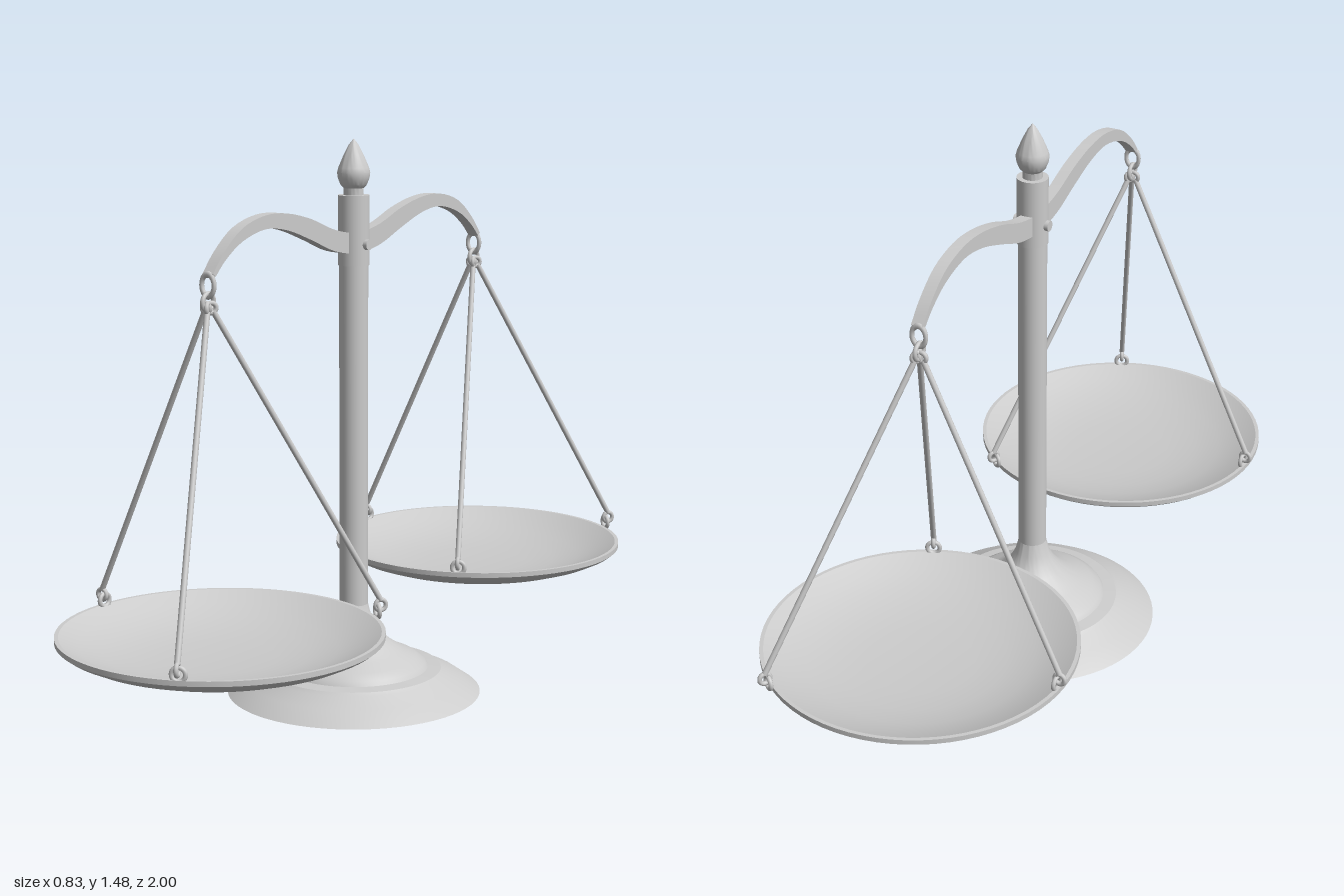
import * as THREE from 'three';
import { toCreasedNormals } from 'three/addons/utils/BufferGeometryUtils.js';

const material = new THREE.MeshStandardMaterial({ color: 0xcccccc });
const V = (x, y, z) => new THREE.Vector3(x, y, z);

function add(parent, name, geometry) {
  const mesh = new THREE.Mesh(geometry, material);
  mesh.name = name;
  parent.add(mesh);
  return mesh;
}

// Lathe from [radius, height] pairs, with sharp edges kept
function turned(points, segments = 64) {
  const profile = points.map(([r, y]) => new THREE.Vector2(r, y));
  return toCreasedNormals(new THREE.LatheGeometry(profile, segments), 0.45);
}

// Straight wire between two points
function wire(parent, name, a, b, radius) {
  return add(parent, name, new THREE.TubeGeometry(new THREE.LineCurve3(a, b), 1, radius, 10));
}

// Small wire ring; its axis lies along the given horizontal angle
function ring(parent, name, centre, radius, axisAngle) {
  const mesh = add(parent, name, new THREE.TorusGeometry(radius, 0.006, 8, 24));
  mesh.position.copy(centre);
  mesh.rotation.y = axisAngle;
  return mesh;
}

// Curved beam, thick at the pivot and tapering to the drooping tips
function beamGeometry() {
  const top = [[0, 1.235], [0.1, 1.25], [0.2, 1.285], [0.3, 1.307], [0.39, 1.309], [0.48, 1.285], [0.55, 1.235], [0.595, 1.185]];
  const bottom = [[0.585, 1.178], [0.545, 1.215], [0.48, 1.253], [0.39, 1.275], [0.3, 1.265], [0.2, 1.232], [0.1, 1.195], [0, 1.182]];
  const flip = (list) => list.slice().reverse().map(([z, y]) => [-z, y]);
  const smooth = (list) => new THREE.SplineCurve(list.map(([z, y]) => new THREE.Vector2(z, y))).getPoints(56);
  const upper = smooth([...flip(top), ...top.slice(1)]);
  const lower = smooth([...bottom, ...flip(bottom).slice(1)]);
  const geometry = new THREE.ExtrudeGeometry(new THREE.Shape([...upper, ...lower]), { depth: 0.032, bevelEnabled: false });
  geometry.translate(0, 0, -0.016).rotateY(-Math.PI / 2);
  return toCreasedNormals(geometry, 0.5);
}

// Shallow dish with a thin rim
const dish = turned([
  [0, 0.215], [0.12, 0.215], [0.19, 0.218], [0.25, 0.225], [0.31, 0.239], [0.36, 0.256], [0.395, 0.273],
  [0.408, 0.283], [0.408, 0.296], [0.398, 0.296], [0.35, 0.272], [0.29, 0.252], [0.22, 0.238], [0.14, 0.231], [0, 0.229],
], 72);

// Dish with its three wires, hung from a point on the beam tip
function hangingPan(name, panZ, tipZ) {
  const group = new THREE.Group();
  group.name = name;
  add(group, 'pan', dish).position.set(0.005, 0, panZ);

  // Flat link on the beam tip and the ring below it
  const link = ring(group, 'tipLink', V(0, 1.157, tipZ), 0.019, 0);
  link.scale.y = 1.4;
  const hang = V(0, 1.116, tipZ);
  ring(group, 'hangingRing', hang, 0.021, Math.PI / 2);

  [[0.238, -0.35], [-0.405, -0.018], [0.172, 0.37]].forEach(([x, z]) => {
    const foot = V(x + 0.005, 0.335, panZ + z);
    const heading = Math.atan2(x, z);
    const along = foot.clone().sub(hang).normalize();
    const start = hang.clone().addScaledVector(along, 0.025);
    wire(group, 'suspensionWire', start, foot, 0.0075);
    // Hooked wire ends
    ring(group, 'upperHook', hang.clone().addScaledVector(along, 0.016), 0.012, heading + Math.PI / 2);
    ring(group, 'lowerHook', V(foot.x, 0.322, foot.z), 0.014, heading + Math.PI / 2);
    // Eye fixed on the rim
    ring(group, 'rimEye', V(x * 0.98 + 0.005, 0.308, panZ + z * 0.98), 0.017, heading);
  });
  return group;
}

export function createModel() {
  const model = new THREE.Group();
  model.name = 'balanceScale';

  const stand = new THREE.Group();
  stand.name = 'stand';
  stand.position.set(0.005, 0, 0.025);
  model.add(stand);

  // Stepped foot flowing up into the column
  add(stand, 'base', turned([
    [0, 0], [0.34, 0], [0.29, 0.035], [0.245, 0.056], [0.235, 0.064], [0.2, 0.068], [0.192, 0.08], [0.17, 0.095],
    [0.135, 0.111], [0.105, 0.13], [0.08, 0.152], [0.06, 0.178], [0.047, 0.205], [0.038, 0.24],
  ]));
  add(stand, 'column', new THREE.CylinderGeometry(0.038, 0.038, 0.95, 40).translate(0, 0.7, 0));
  add(stand, 'columnHead', new THREE.CylinderGeometry(0.041, 0.041, 0.182, 40).translate(0, 1.241, 0));

  // Pointed finial
  add(stand, 'finial', turned([
    [0.026, 1.33], [0.026, 1.35], [0.034, 1.358], [0.041, 1.375], [0.043, 1.39], [0.04, 1.402],
    [0.026, 1.435], [0.012, 1.462], [0, 1.477],
  ], 40));

  // Beam and its pivot pin
  add(stand, 'beam', beamGeometry()).position.x = -0.003;
  add(stand, 'pivotPin', new THREE.CylinderGeometry(0.014, 0.014, 0.1, 24).rotateZ(Math.PI / 2).translate(0, 1.205, 0));

  model.add(hangingPan('frontPan', 0.592, 0.618));
  model.add(hangingPan('backPan', -0.592, -0.566));
  return model;
}
